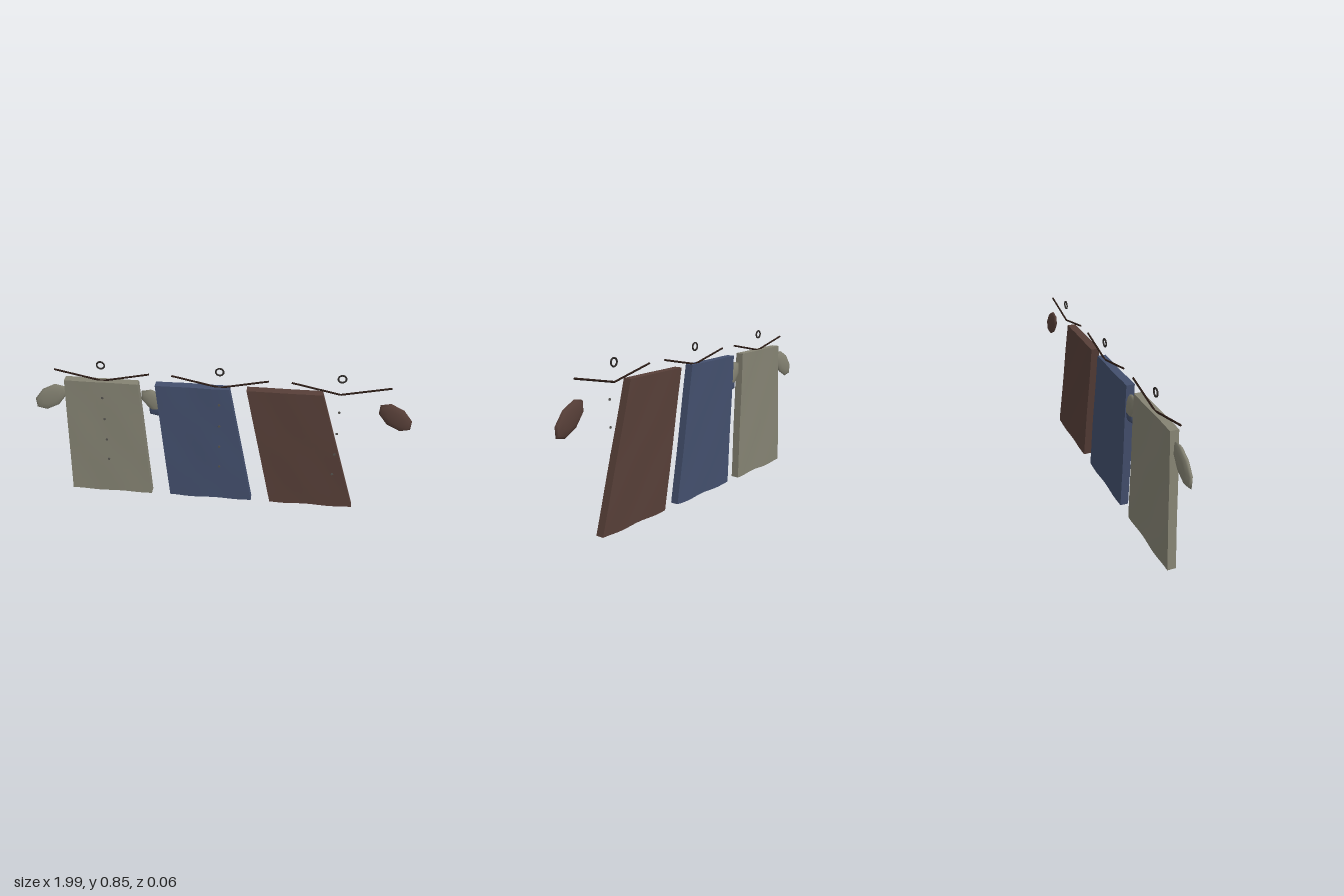
import * as THREE from 'three';

const mat = (name, color) => {
  const m = new THREE.MeshStandardMaterial({ color });
  m.name = name;
  return m;
};

// Flat coat body: a box whose top and bottom edges are set separately, with soft folds
function coatBody(top, bottom, height, seed) {
  const g = new THREE.BoxGeometry(1, 1, 1, 12, 14, 1);
  const p = g.attributes.position;
  for (let i = 0; i < p.count; i++) {
    const u = p.getX(i) + 0.5, v = p.getY(i) + 0.5, side = p.getZ(i) * 2;
    const left = THREE.MathUtils.lerp(bottom[0], top[0], v);
    const right = THREE.MathUtils.lerp(bottom[1], top[1], v);
    const fold = 0.0015 * Math.sin(u * 9 + seed * 2 + v * 3) * Math.sin(v * 6 + seed);
    const hem = 0.003 * (1 - v) * (1 + Math.sin(u * 11 + seed));
    p.setXYZ(i, left + (right - left) * u, v * height + hem, -0.002 + side * 0.022 + fold);
  }
  g.computeVertexNormals();
  return g;
}

// Straight rod between two points
function rod(a, b, radius, material, name) {
  const d = b.clone().sub(a);
  const mesh = new THREE.Mesh(new THREE.CylinderGeometry(radius, radius, d.length(), 8), material);
  mesh.position.copy(a).add(b).multiplyScalar(0.5);
  mesh.quaternion.setFromUnitVectors(new THREE.Vector3(0, 1, 0), d.normalize());
  mesh.name = name;
  return mesh;
}

export function createModel() {
  const model = new THREE.Group();
  model.name = 'hangingCoats';
  const hangerMat = mat('dark wood', 0x2a1b15);
  const hookMat = mat('dark metal', 0x2e2a28);
  const buttonMat = mat('button grey', 0x55534f);
  const z = -0.003;

  const coats = [
    { name: 'greyCoat', x: -0.617, top: [-0.815, -0.425], bottom: [-0.85, -0.39], m: mat('warm grey cloth', 0x858373) },
    { name: 'blueCoat', x: 0, top: [-0.335, 0.05], bottom: [-0.283, 0.18], m: mat('blue cloth', 0x434f6d) },
    { name: 'brownCoat', x: 0.617, top: [0.14, 0.528], bottom: [0.285, 0.745], m: mat('brown cloth', 0x573f38) },
  ];

  // Low-poly sleeve and shared small parts
  const sleeveGeo = new THREE.SphereGeometry(1, 8, 6).rotateX(Math.PI / 2);
  const buttonGeo = new THREE.CylinderGeometry(0.007, 0.007, 0.003, 8).rotateX(Math.PI / 2);
  const hookGeo = new THREE.TorusGeometry(0.02, 0.0045, 8, 20);

  coats.forEach(({ name, x, top, bottom, m }, i) => {
    const coat = new THREE.Group();
    coat.name = name;
    const add = (geo, material, part) => {
      const mesh = new THREE.Mesh(geo, material);
      mesh.name = part;
      coat.add(mesh);
      return mesh;
    };
    add(coatBody(top, bottom, 0.735, i + 1), m, 'coatBody');

    // Sleeves and hanger arms, mirrored about the hanger centre
    for (const s of [-1, 1]) {
      const sleeve = add(sleeveGeo, m, s > 0 ? 'leftSleeve' : 'rightSleeve');
      sleeve.scale.set(0.11, 0.06, 0.017);
      sleeve.rotation.z = s > 0 ? -0.7 : Math.PI + 0.7;
      sleeve.position.set(x + s * 0.29, 0.613, z);
      coat.add(rod(new THREE.Vector3(x, 0.732, z), new THREE.Vector3(x + s * 0.25, 0.786, z),
        0.005, hangerMat, s > 0 ? 'leftHangerArm' : 'rightHangerArm'));
    }

    add(hookGeo, hookMat, 'hangerHook').position.set(x, 0.825, z);

    // Button row just in front of the cloth
    for (let b = 0; b < 4; b++) {
      add(buttonGeo, buttonMat, 'button').position.set(x, 0.645 - b * 0.135, 0.03);
    }
    model.add(coat);
  });
  return model;
}
